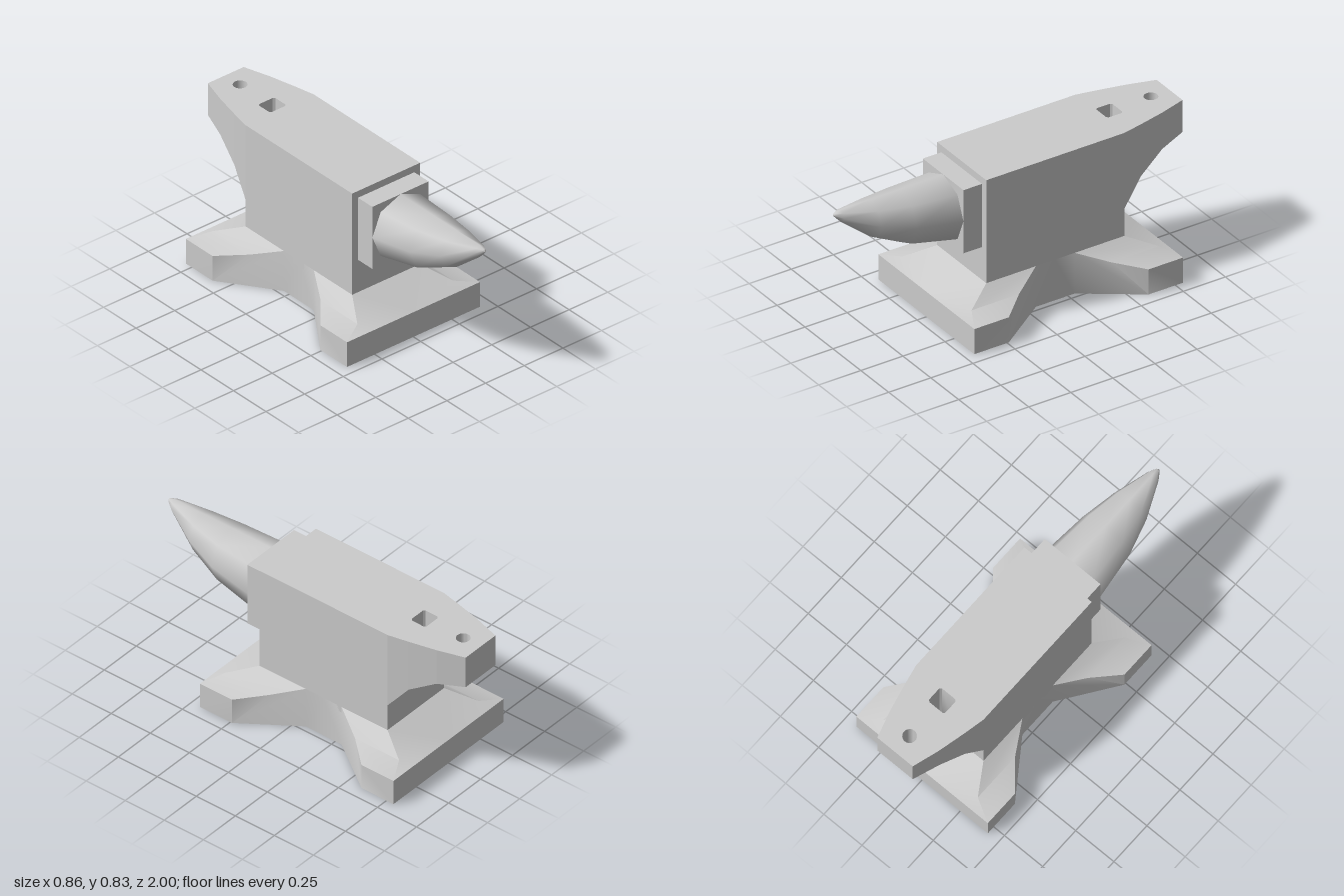
import * as THREE from 'three';
import { toCreasedNormals } from 'three/addons/utils/BufferGeometryUtils.js';

const material = new THREE.MeshStandardMaterial({ color: 0xcccccc });

function part(name, geometry, crease = 0.7) {
  const flat = geometry.index ? geometry.toNonIndexed() : geometry;
  const mesh = new THREE.Mesh(toCreasedNormals(flat, crease), material);
  mesh.name = name;
  return mesh;
}

function box(name, width, y0, y1, z0, z1) {
  const g = new THREE.BoxGeometry(width, y1 - y0, z1 - z0);
  return part(name, g.translate(0, (y0 + y1) / 2, (z0 + z1) / 2));
}

// Waisted base with four flared feet: one quarter, mirrored in x and z
function baseGeometry() {
  const A0 = [0.43, 0, 0.62], D0 = [0.43, 0, 0.415], E0 = [0.22, 0, 0.115];
  const A = [0.43, 0.145, 0.62], D = [0.43, 0.145, 0.415];
  const F = [0.31, 0.172, 0.557], C = [0.31, 0.172, 0.275];
  const B = [0.22, 0.235, 0.41], E = [0.22, 0.235, 0.115];
  const M0 = [0, 0, 0.62], M1 = [0, 0.145, 0.62], M2 = [0, 0.235, 0.41];
  const O = [0, 0, 0], P0 = [0.22, 0, 0], P = [0.22, 0.235, 0];
  const faces = [
    [M0, A0, A, M1], [M1, A, F, B, M2], // end wall and end slope
    [A0, D0, D, A], [D0, E0, E, C, D], [E0, P0, P, E], // side walls
    [A, D, C, F], [F, C, E, B], // top of the foot
    [O, P0, E0, D0, A0, M0], // underside
  ];
  const positions = [];
  for (const sx of [1, -1]) for (const sz of [1, -1]) {
    for (const face of faces) {
      for (let i = 1; i < face.length - 1; i++) {
        const tri = [face[0], face[i], face[i + 1]];
        if (sx * sz < 0) tri.reverse();
        for (const [x, y, z] of tri) positions.push(x * sx, y, z * sz);
      }
    }
  }
  const g = new THREE.BufferGeometry();
  g.setAttribute('position', new THREE.Float32BufferAttribute(positions, 3));
  return g.translate(0, 0, -0.175);
}

// Stations along the heel: distance back, half width, underside height
const stations = [[0.585, 0.22, 0.39], [0.7, 0.196, 0.53], [0.85, 0.161, 0.62], [1, 0.116, 0.645]];

function underside(d) {
  let i = 0;
  while (i < stations.length - 2 && d > stations[i + 1][0]) i++;
  const [a, , ya] = stations[i], [b, , yb] = stations[i + 1];
  return THREE.MathUtils.mapLinear(d, a, b, ya, yb);
}

function squareHole() {
  const w = 0.053, c = 0.043, path = new THREE.Path();
  path.setFromPoints([[-c, -w], [c, -w], [w, -c], [w, c], [c, w], [-c, w], [-w, c], [-w, -c]]
    .map(([x, y]) => new THREE.Vector2(x, 0.642 + y * 0.9)));
  path.closePath();
  return path;
}

// One heel section: plan outline raised, its lower rim dropped to the underside curve
function heelSection(i, hole) {
  const [a, wa] = stations[i], [b, wb] = stations[i + 1];
  const shape = new THREE.Shape([[-wa, a], [wa, a], [wb, b], [-wb, b]]
    .map(([x, y]) => new THREE.Vector2(x, y)));
  if (hole) shape.holes.push(hole);
  const g = new THREE.ExtrudeGeometry(shape, { depth: 1, bevelEnabled: false, curveSegments: 12 });
  g.rotateX(-Math.PI / 2);
  const p = g.attributes.position;
  for (let k = 0; k < p.count; k++) {
    p.setY(k, p.getY(k) > 0.5 ? 0.83 : underside(-p.getZ(k)));
  }
  return g;
}

// Eight-sided horn whose upper line stays level while it tapers
function hornGeometry() {
  const profile = [[0.182, 0.34], [0.153, 0.6], [0.107, 0.78], [0.035, 0.955], [0.012, 0.99], [0, 1]];
  const g = new THREE.LatheGeometry(profile.map(([r, z]) => new THREE.Vector2(r, z)), 8);
  g.rotateX(Math.PI / 2);
  const p = g.attributes.position;
  for (let k = 0; k < p.count; k++) {
    const r = Math.hypot(p.getX(k), p.getY(k));
    p.setY(k, p.getY(k) + Math.min(0.79 - r, 0.77));
  }
  return g;
}

export function createModel() {
  const model = new THREE.Group();
  model.name = 'anvil';

  model.add(part('base', baseGeometry()));
  model.add(box('body', 0.44, 0.2, 0.83, -0.585, 0.235));
  model.add(box('hornBlock', 0.364, 0.425, 0.79, 0.2, 0.345));
  model.add(part('horn', hornGeometry(), 0.9));

  // Overhanging heel with a square and a round hole
  const roundHole = new THREE.Path();
  roundHole.absarc(0, 0.889, 0.037, 0, Math.PI * 2);
  const heel = new THREE.Group();
  heel.name = 'heel';
  [squareHole(), null, roundHole].forEach((hole, i) => {
    heel.add(part('heelSection' + (i + 1), heelSection(i, hole)));
  });
  model.add(heel);
  return model;
}
